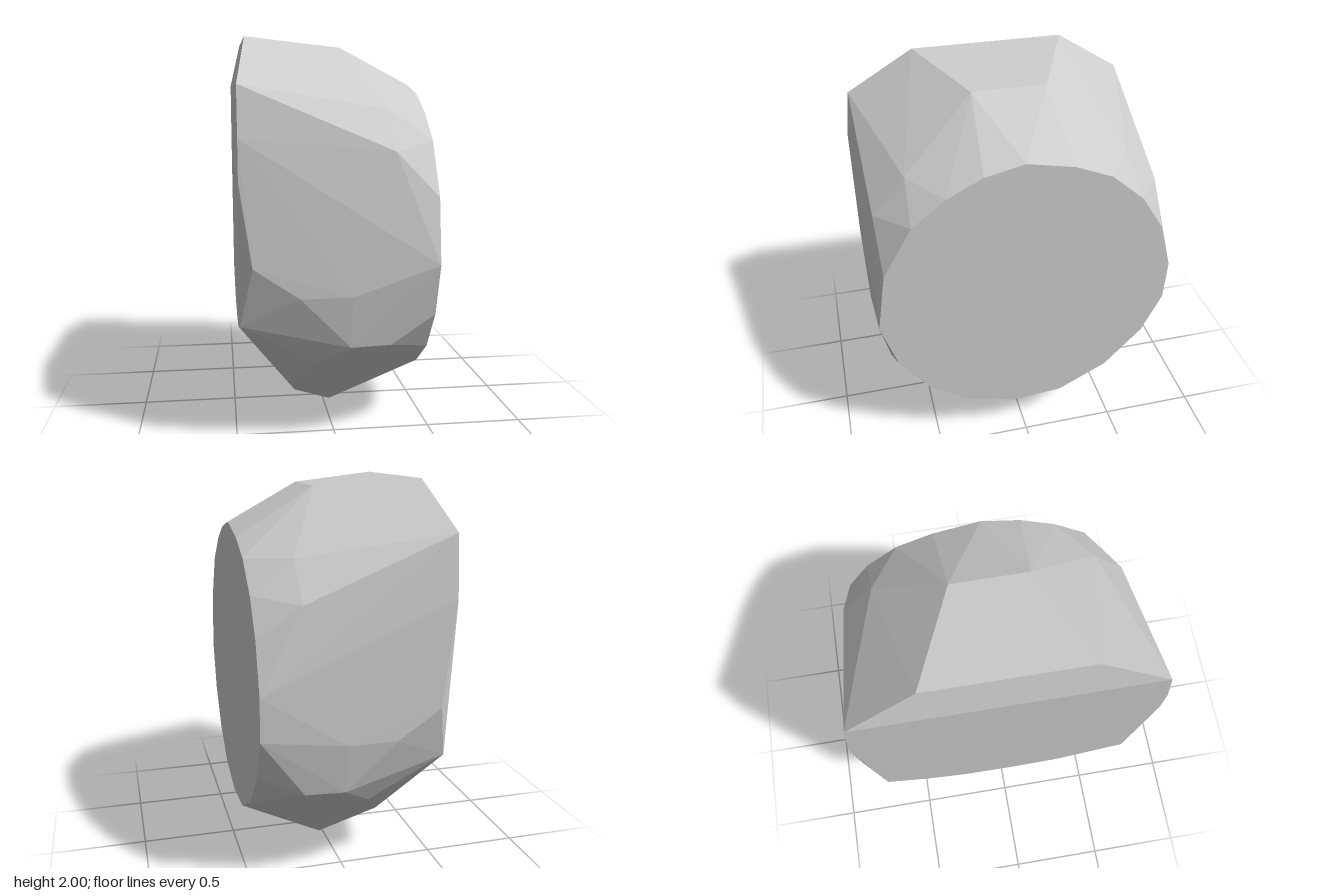
import * as THREE from 'three';
import { ConvexGeometry } from 'three/addons/geometries/ConvexGeometry.js';

export function createModel() {
  const group = new THREE.Group();
  const stone = new THREE.MeshStandardMaterial({ color: 0xcccccc });
  stone.name = 'pale grey stone';
  stone.flatShading = true;

  const points = [];
  const add = (x, y, z) => points.push(new THREE.Vector3(x, y, z));

  // Round flat end: rim as [z, y]
  const roundEnd = [
    [0.02, 1.77], [0.22, 1.725], [0.4, 1.635], [0.57, 1.5], [0.72, 1.24],
    [0.77, 0.92], [0.69, 0.66], [0.54, 0.45], [0.33, 0.3], [0.07, 0.23],
    [-0.2, 0.25], [-0.46, 0.39], [-0.66, 0.61], [-0.76, 0.83], [-0.77, 1.05],
    [-0.7, 1.3], [-0.58, 1.49], [-0.41, 1.64], [-0.22, 1.72],
  ];
  roundEnd.forEach(([z, y]) => add(0.475, y, z));

  // Broad flat end: rim as [z, y]
  const broadEnd = [
    [0.75, 1.77], [0.78, 1.53], [0.78, 1.33], [0.69, 0.63], [0.315, 0.52],
    [0.03, 0.505], [-0.24, 0.515], [-0.457, 0.56], [-0.69, 0.645],
    [-0.78, 1.46], [-0.75, 1.77],
  ];
  broadEnd.forEach(([z, y]) => add(-0.48, y, z));

  // Facet corners shared by the front and back
  const sides = [
    [-0.43, 2, 0.4], [0.07, 1.96, 0.19], [0.26, 1.65, 0.56], [0.26, 1.46, 0.73],
    [-0.42, 0.93, 0.782], [-0.2, 0.78, 0.78], [0.05, 0.78, 0.78],
    [0.05, 0.52, 0.735], [0.25, 0.52, 0.715], [-0.1, 0.42, 0.64], [-0.2, 0.28, 0.47],
  ];
  for (const [x, y, z] of sides) {
    add(x, y, z);
    add(x, y, -z);
  }

  // Blunt underside tip
  add(-0.04, 0, -0.04);
  add(0.01, 0.07, 0.24);
  add(0.05, 0.06, -0.24);
  add(-0.17, 0.09, 0.14);

  const boulder = new THREE.Mesh(new ConvexGeometry(points), stone);
  boulder.name = 'boulder';
  group.add(boulder);
  return group;
}
